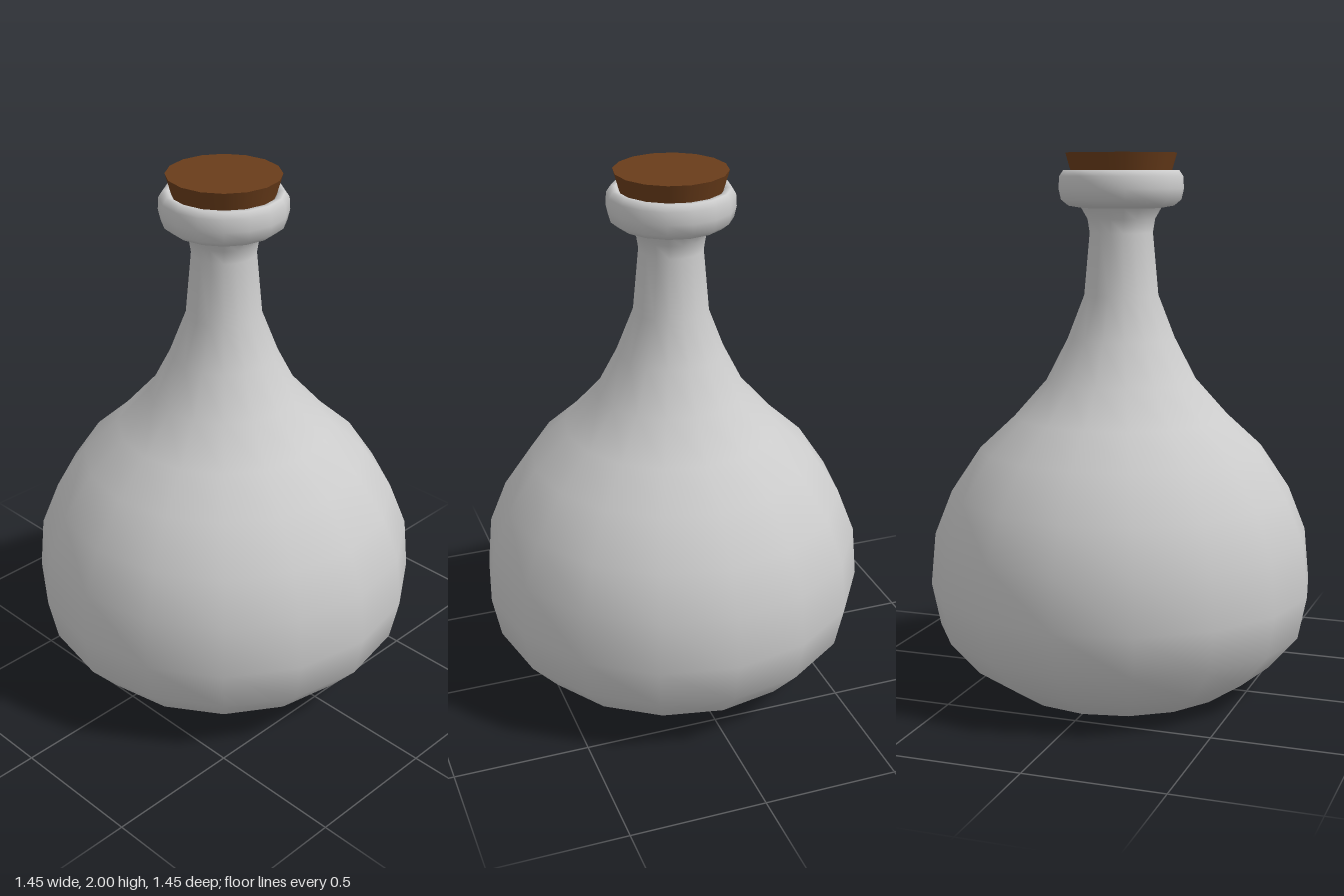
import * as THREE from 'three';

const SIDES = 16;

// Turns a bottom-to-top [radius, height] profile around the y axis
function turned(name, profile, material) {
  const points = profile.map(([r, y]) => new THREE.Vector2(r, y));
  const mesh = new THREE.Mesh(new THREE.LatheGeometry(points, SIDES), material);
  mesh.name = name;
  return mesh;
}

export function createModel() {
  const group = new THREE.Group();
  group.name = 'corkedFlask';
  const glass = new THREE.MeshStandardMaterial({ color: 0xcccccc, side: THREE.DoubleSide });
  const corkMaterial = new THREE.MeshStandardMaterial({ color: 0x693c1a });

  // Round belly on a flat base, narrowing into the neck
  group.add(turned('flaskBody', [
    [0, 0], [0.43, 0], [0.58, 0.1], [0.69, 0.225], [0.723, 0.385],
    [0.705, 0.58], [0.64, 0.745], [0.53, 0.91], [0.4, 1.03],
    [0.28, 1.165], [0.2, 1.32], [0.138, 1.48], [0.117, 1.71],
    [0.125, 1.76], [0.148, 1.8], [0.16, 1.81],
  ], glass));

  // Rolled lip around the mouth
  group.add(turned('lip', [
    [0.148, 1.8], [0.195, 1.808], [0.222, 1.83], [0.231, 1.87],
    [0.228, 1.915], [0.213, 1.937], [0.195, 1.937], [0.18, 1.92], [0.17, 1.87],
  ], glass));

  // Tapered cork
  const cork = new THREE.Mesh(new THREE.CylinderGeometry(0.205, 0.165, 0.14, SIDES), corkMaterial);
  cork.name = 'cork';
  cork.position.y = 1.93;
  group.add(cork);

  return group;
}
